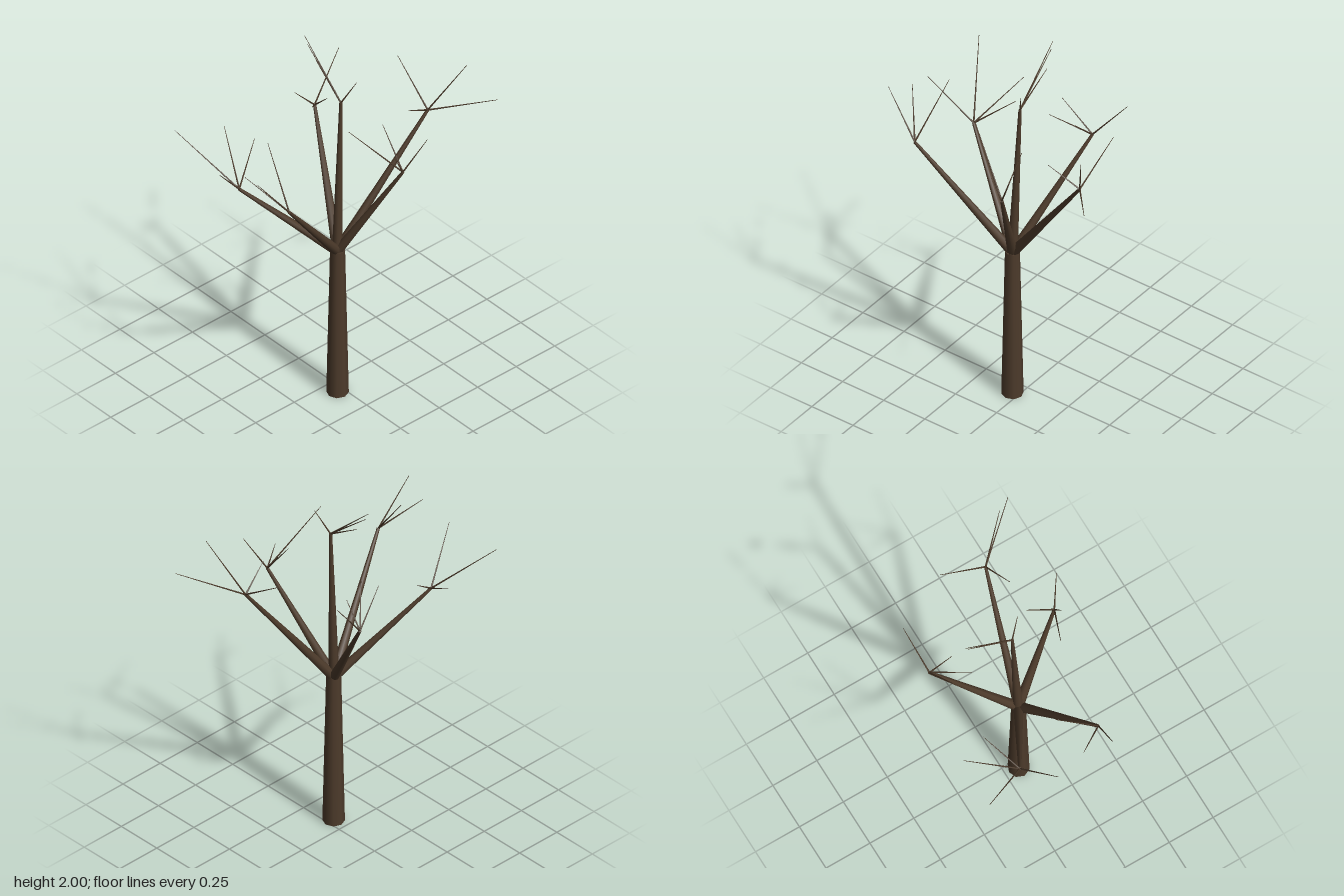
import * as THREE from 'three';

const bark = new THREE.MeshStandardMaterial({ color: 0x4d3b2b });
bark.name = 'darkBark';

const UP = new THREE.Vector3(0, 1, 0);

// Tapered cylinder running from one point to another
function taper(name, from, to, r0, r1, sides) {
  const a = new THREE.Vector3(...from);
  const dir = new THREE.Vector3(...to).sub(a);
  const geo = new THREE.CylinderGeometry(r1, r0, dir.length(), sides);
  const mesh = new THREE.Mesh(geo, bark);
  mesh.name = name;
  mesh.position.copy(a).addScaledVector(dir, 0.5);
  mesh.quaternion.setFromUnitVectors(UP, dir.normalize());
  return mesh;
}

// Each limb: its tip, and the ends of the twigs that sprout there
const limbs = [
  { tip: [-0.455, 1.31, -0.172],
    twigs: [[-0.63, 1.6, -0.45], [-0.335, 1.495, -0.42], [-0.27, 1.47, -0.27], [-0.665, 1.555, -0.08]] },
  { tip: [-0.5, 1.43, 0.247],
    twigs: [[-0.68, 1.67, 0.22], [-0.64, 1.62, 0.08], [-0.45, 1.705, 0.033]] },
  { tip: [0.125, 1.435, 0.375],
    twigs: [[-0.125, 1.74, 0.26], [0.13, 1.635, 0.22], [0.222, 1.625, 0.445], [0.067, 1.55, 0.38]] },
  { tip: [0.455, 1.54, 0.183],
    twigs: [[0.575, 1.84, 0.335], [0.677, 1.64, 0.445], [0.477, 1.72, -0.063], [0.295, 1.64, 0.225]] },
  { tip: [0.16, 1.435, -0.315],
    twigs: [[0.347, 1.67, -0.35], [0, 1.61, -0.28], [0.01, 1.58, -0.165], [0.14, 1.55, -0.2]] },
  { tip: [0, 1.742, 0.06],
    twigs: [[0, 2, -0.207], [0.002, 1.96, -0.19], [0.015, 1.88, -0.14], [0.05, 1.875, 0.12]] },
];

export function createModel() {
  const tree = new THREE.Group();
  tree.name = 'bareTree';

  tree.add(taper('trunk', [-0.035, 0, 0.075], [-0.035, 0.87, 0.075], 0.055, 0.037, 8));

  // Limbs fan out from the trunk top, each ending in thin twigs
  for (const { tip, twigs } of limbs) {
    const branch = new THREE.Group();
    branch.name = 'branch';
    branch.add(taper('limb', [-0.035, 0.86, 0.073], tip, 0.026, 0.008, 8));
    for (const end of twigs) branch.add(taper('twig', tip, end, 0.0045, 0.0013, 5));
    tree.add(branch);
  }
  return tree;
}
